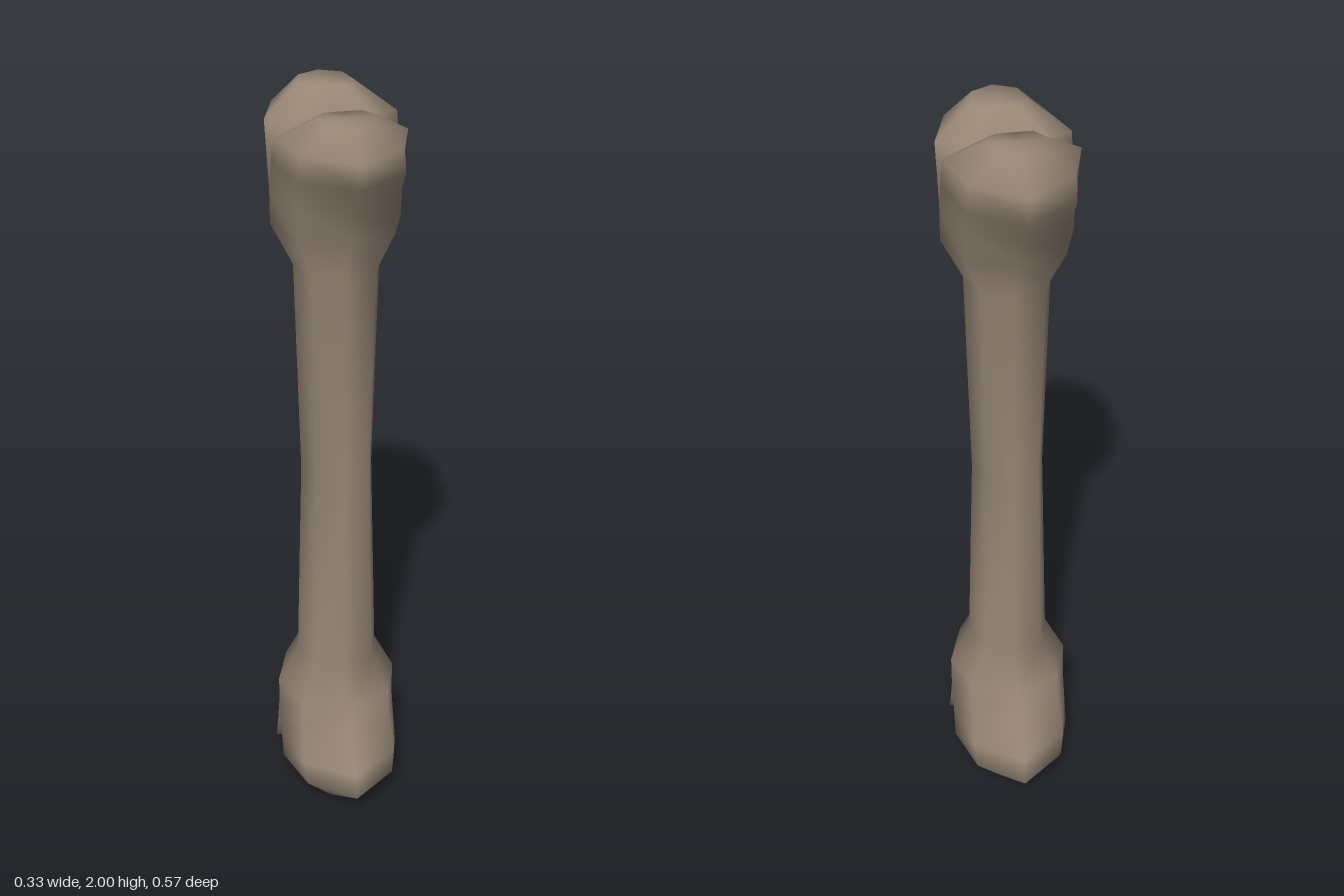
import * as THREE from 'three';
import { mergeVertices } from 'three/addons/utils/BufferGeometryUtils.js';

// Shaft rings: height, half width, half depth, z offset
const SHAFT = [
  [1.0, 0.095, 0.107, 0.007],
  [1.58, 0.11, 0.118, 0.007],
  [1.69, 0.165, 0.165, 0.003],
];

// Knuckle sections from the cleft up:
// height, side x, side z, shoulder x, shoulder z, tip z, inner x, inner z
const KNUCKLE = [
  [1.78, 0.165, 0, 0.125, 0.13, 0.195, 0.1, 0],
  [1.86, 0.165, 0.028, 0.13, 0.18, 0.268, 0.1, 0.012],
  [1.925, 0.165, 0.055, 0.122, 0.192, 0.285, 0.1, 0.033],
  [1.99, 0.07, 0.115, 0.055, 0.18, 0.208, 0.045, 0.08],
];

function shaftRing([y, a, d, oz]) {
  return Array.from({ length: 8 }, (_, i) => {
    const t = (i * Math.PI) / 4;
    const k = i % 2 ? 1.04 : 1;
    return [a * k * Math.cos(t), y, oz + d * k * Math.sin(t)];
  });
}

// Closed loop of one knuckle: five outer points, then three inner ones
function knuckleRing([y, sx, sz, mx, mz, tip, ix, iz], side, lift) {
  const outline = [
    [sx, sz], [mx, mz], [0, tip], [-mx, mz], [-sx, sz],
    [-ix, iz], [0, iz], [ix, iz],
  ];
  return outline.map(([x, z]) => [x * side, y + lift, z * side]);
}

function buildBone() {
  const positions = [];

  // Adds one triangle; the lower half is mirrored, so its corners swap
  const tri = (a, b, c, lower) => {
    const corners = lower ? [a, c, b] : [a, b, c];
    for (const [x, y, z] of corners) positions.push(x, lower ? 2 - y : y, z);
  };

  const loft = (rings, lower) => {
    for (let r = 0; r + 1 < rings.length; r++) {
      const A = rings[r], B = rings[r + 1];
      for (let i = 0; i < A.length; i++) {
        const j = (i + 1) % A.length;
        tri(A[i], B[i], B[j], lower);
        tri(A[i], B[j], A[j], lower);
      }
    }
  };

  const cap = (ring, lower) => {
    const centre = [0, 1, 2].map(k => ring.reduce((s, p) => s + p[k], 0) / ring.length);
    ring.forEach((p, i) => tri(centre, ring[(i + 1) % ring.length], p, lower));
  };

  for (const lower of [false, true]) {
    // Half of the shaft, flaring up to the cleft
    const cleft = [
      ...knuckleRing(KNUCKLE[0], 1, 0).slice(0, 5),
      ...knuckleRing(KNUCKLE[0], -1, 0).slice(1, 4),
    ];
    loft([...SHAFT.map(shaftRing), cleft], lower);

    // Two knuckles, the rear one slightly taller
    for (const side of [1, -1]) {
      const rings = KNUCKLE.map((k, i) =>
        knuckleRing(k, side, side < 0 && i > 1 ? 0.01 : i === 3 ? -0.003 : 0));
      loft(rings, lower);
      cap(rings[rings.length - 1], lower);
    }
  }

  const soup = new THREE.BufferGeometry();
  soup.setAttribute('position', new THREE.Float32BufferAttribute(positions, 3));
  const geometry = mergeVertices(soup, 1e-4);
  geometry.computeVertexNormals();
  return geometry;
}

export function createModel() {
  const group = new THREE.Group();
  group.name = 'bone';
  const material = new THREE.MeshStandardMaterial({ color: 0x968676 });
  material.name = 'aged bone';
  const bone = new THREE.Mesh(buildBone(), material);
  bone.name = 'boneShaftAndKnuckles';
  group.add(bone);
  return group;
}
